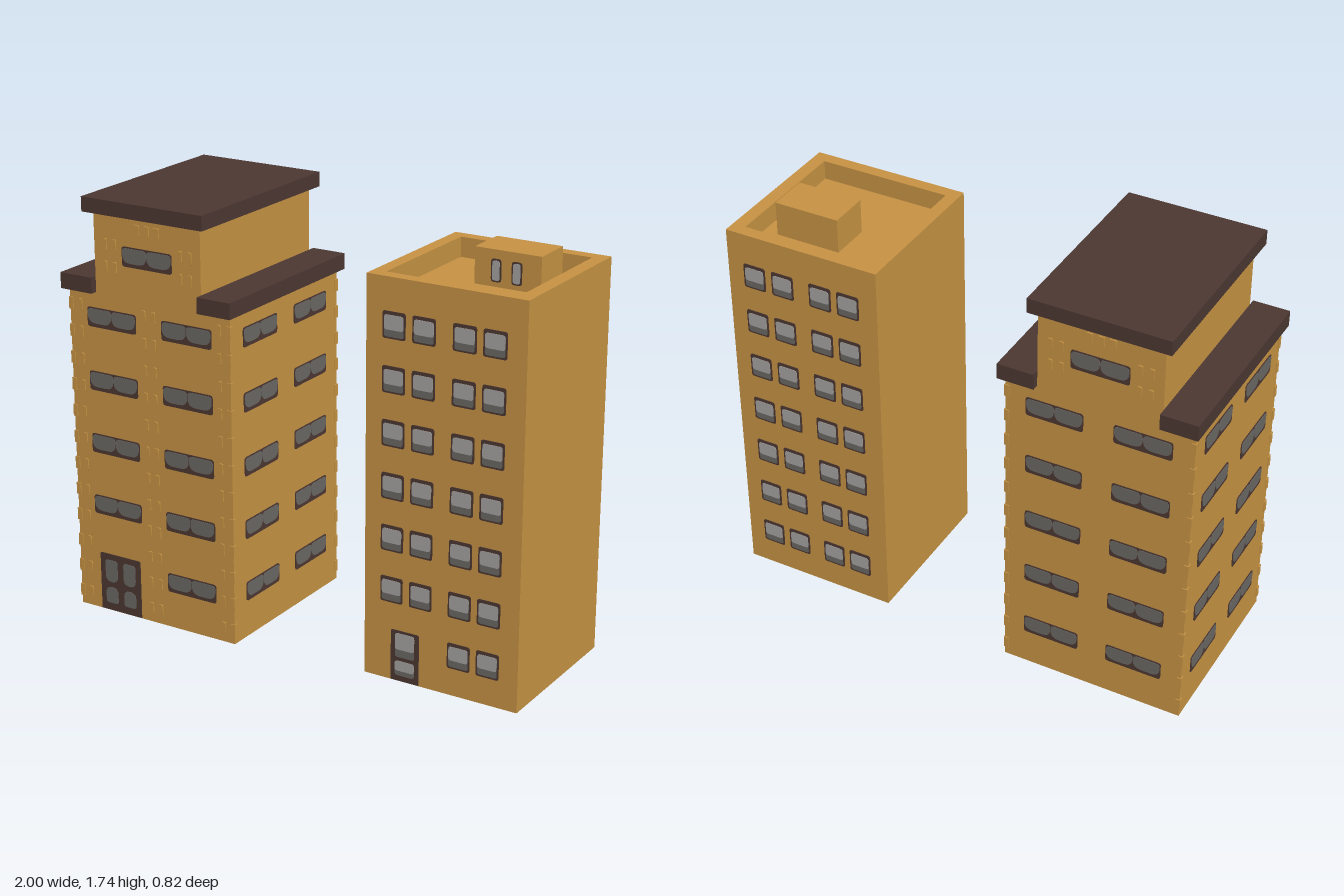
import * as THREE from 'three';

const make = (name, color) => {
  const m = new THREE.MeshStandardMaterial({ color });
  m.name = name;
  return m;
};
const wall = make('ochre wall', 0xc89444);
const brown = make('dark brown trim', 0x4d3833);
const grey = make('grey glass', 0x6b6964);
const pale = make('pale glass', 0xa6a4a2);

function box(parent, name, mat, x0, x1, y0, y1, z0, z1) {
  const mesh = new THREE.Mesh(new THREE.BoxGeometry(x1 - x0, y1 - y0, z1 - z0), mat);
  mesh.position.set((x0 + x1) / 2, (y0 + y1) / 2, (z0 + z1) / 2);
  mesh.name = name;
  parent.add(mesh);
}

// Thin plate with separate top and bottom corner radii, its back on local z = 0
function plate(parent, name, mat, x, y, w, h, rt, rb, depth) {
  const a = w / 2, b = h / 2;
  const s = new THREE.Shape();
  s.moveTo(-a + rb, -b).lineTo(a - rb, -b).quadraticCurveTo(a, -b, a, -b + rb);
  s.lineTo(a, b - rt).quadraticCurveTo(a, b, a - rt, b);
  s.lineTo(-a + rt, b).quadraticCurveTo(-a, b, -a, b - rt);
  s.lineTo(-a, -b + rb).quadraticCurveTo(-a, -b, -a + rb, -b);
  const geo = new THREE.ExtrudeGeometry(s, { depth, bevelEnabled: false, curveSegments: 4 });
  const mesh = new THREE.Mesh(geo, mat);
  mesh.position.set(x, y, 0);
  mesh.name = name;
  parent.add(mesh);
}

// Local frame of one facade: x to the viewer's right, z outward
function facade(parent, name, angle, distance) {
  const g = new THREE.Group();
  g.name = name;
  g.rotation.y = angle;
  g.position.set(Math.sin(angle) * distance, 0, Math.cos(angle) * distance);
  parent.add(g);
  return g;
}

const brick = (f, x, y, w = 0.02, h = 0.05) => plate(f, 'brick', wall, x, y, w, h, 0.006, 0.006, 0.005);

// Wide window with two drooping panes
function wideWindow(f, x, y) {
  plate(f, 'windowFrame', brown, x, y, 0.234, 0.08, 0.012, 0.012, 0.003);
  for (const s of [-1, 1]) plate(f, 'windowPane', grey, x + s * 0.0575, y + 0.005, 0.113, 0.06, 0.016, 0.036, 0.005);
}

// Pane with a pale upper part and a grey lower strip
function splitPane(f, x, y, w, h) {
  plate(f, 'paneLower', grey, x, y, w, h, 0.012, 0.01, 0.004);
  plate(f, 'paneUpper', pale, x, y + h * 0.16, w, h * 0.68, 0.012, 0.012, 0.005);
}

function smallWindow(f, x, y) {
  plate(f, 'windowFrame', brown, x, y, 0.096, 0.104, 0.01, 0.01, 0.003);
  splitPane(f, x, y - 0.003, 0.082, 0.084);
}

function steppedTower() {
  const g = new THREE.Group();
  g.name = 'steppedTower';
  g.position.x = -0.6;
  const R = 0.38;
  box(g, 'lowerBody', wall, -R, R, 0, 1.36, -R, R);
  box(g, 'upperBody', wall, -0.25, 0.25, 1.36, 1.68, -R, R);
  box(g, 'topRoof', brown, -0.284, 0.28, 1.68, 1.74, -0.41, 0.41);
  box(g, 'sideRoof', brown, -0.4, -0.25, 1.355, 1.42, -0.41, 0.41);
  box(g, 'sideRoof', brown, 0.25, 0.4, 1.355, 1.42, -0.41, 0.41);

  const rows = Array.from({ length: 12 }, (_, i) => 0.06 + i * 0.112);
  // Raised corner bricks
  for (const y of rows) for (const sx of [-1, 1]) for (const sz of [-1, 1]) {
    const cx = sx * (R - 0.006), cz = sz * (R - 0.006);
    box(g, 'cornerBrick', wall, cx - 0.01, cx + 0.01, y - 0.025, y + 0.025, cz - 0.01, cz + 0.01);
  }

  for (let side = 0; side < 4; side++) {
    const f = facade(g, 'facade', side * Math.PI / 2, R);
    for (let floor = 0; floor < 5; floor++) for (const x of [-0.178, 0.178]) {
      if (side === 0 && floor === 0 && x < 0) continue;
      wideWindow(f, x, 0.195 + floor * 0.264);
    }
    // Upper storey window and bricks, front and back
    if (side % 2 === 0) {
      wideWindow(f, 0, 1.52);
      for (const x of [-0.2, -0.155, 0.155, 0.2]) for (const y of [1.465, 1.555]) brick(f, x, y);
      for (const x of [-0.046, 0, 0.046]) brick(f, x, 1.63, 0.028, 0.046);
    }
    // Front brick columns and double door
    if (side === 0) {
      for (const y of rows) for (const x of [-0.33, -0.024, 0.022, 0.328]) brick(f, x, y);
      plate(f, 'door', brown, -0.176, 0.126, 0.2, 0.248, 0.008, 0.002, 0.003);
      for (const s of [-1, 1]) {
        plate(f, 'doorPane', grey, -0.176 + s * 0.045, 0.176, 0.06, 0.096, 0.012, 0.028, 0.005);
        plate(f, 'doorPane', grey, -0.176 + s * 0.045, 0.07, 0.06, 0.07, 0.028, 0.012, 0.005);
      }
    }
  }
  return g;
}

function flatRoofTower() {
  const g = new THREE.Group();
  g.name = 'flatRoofTower';
  g.position.set(0.67, 0, -0.017);
  const R = 0.332;
  box(g, 'body', wall, -R + 0.002, R - 0.002, 0, 1.52, -R, R);

  // Parapet ring around the sunken roof
  const ring = new THREE.Shape();
  ring.moveTo(-0.33, -R).lineTo(0.33, -R).lineTo(0.33, R).lineTo(-0.33, R).closePath();
  const hole = new THREE.Path();
  hole.moveTo(-0.278, -0.281).lineTo(-0.278, 0.281).lineTo(0.275, 0.281).lineTo(0.275, -0.281).closePath();
  ring.holes.push(hole);
  const parapet = new THREE.Mesh(new THREE.ExtrudeGeometry(ring, { depth: 0.08, bevelEnabled: false }), wall);
  parapet.rotation.x = -Math.PI / 2;
  parapet.position.y = 1.52;
  parapet.name = 'parapet';
  g.add(parapet);

  // Roof hut with two little windows
  box(g, 'roofHut', wall, -0.062, 0.212, 1.52, 1.662, -0.163, 0.007);
  const hut = facade(g, 'hutFront', 0, 0.007);
  for (const x of [0.028, 0.113]) {
    plate(hut, 'hutWindowFrame', brown, x, 1.583, 0.042, 0.088, 0.012, 0.012, 0.003);
    plate(hut, 'hutWindowPane', pale, x, 1.583, 0.03, 0.076, 0.01, 0.01, 0.005);
  }

  for (const [name, angle] of [['frontFacade', 0], ['backFacade', Math.PI]]) {
    const f = facade(g, name, angle, R);
    for (let floor = 0; floor < 7; floor++) for (const x of [-0.212, -0.087, 0.08, 0.203]) {
      if (angle === 0 && floor === 0 && x < 0) continue;
      smallWindow(f, x, 0.165 + floor * 0.209);
    }
    if (angle === 0) {
      plate(f, 'door', brown, -0.151, 0.107, 0.122, 0.21, 0.008, 0.002, 0.003);
      splitPane(f, -0.151, 0.152, 0.084, 0.1);
      splitPane(f, -0.151, 0.056, 0.084, 0.062);
    }
  }
  return g;
}

export function createModel() {
  const model = new THREE.Group();
  model.name = 'twoTowers';
  model.add(steppedTower(), flatRoofTower());
  return model;
}
